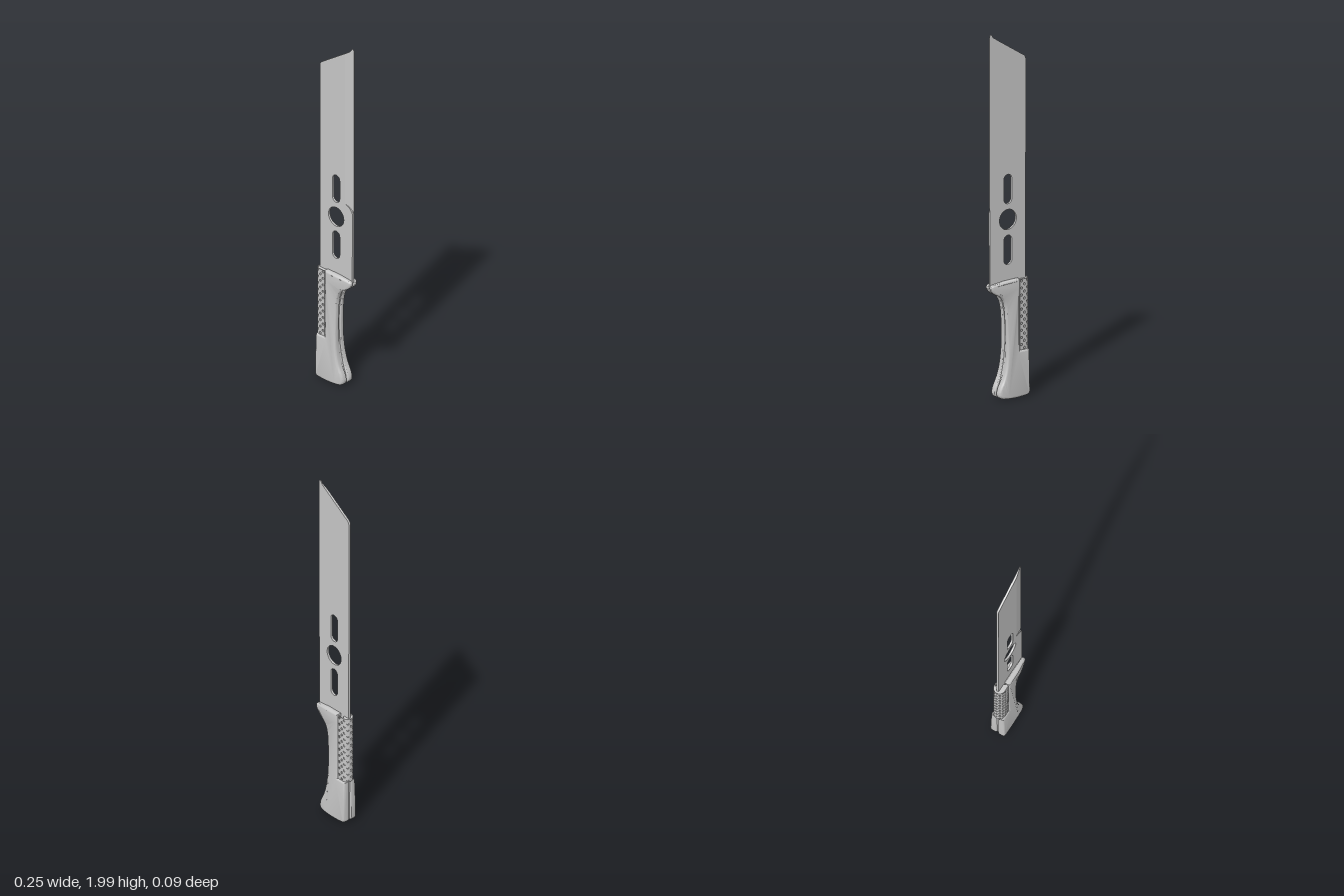
import * as THREE from 'three';
import { mergeGeometries, toCreasedNormals } from 'three/addons/utils/BufferGeometryUtils.js';

const steel = new THREE.MeshStandardMaterial({ color: 0xc6c6c6 });
steel.name = 'light grey';

// Move every vertex by a rule.
function warp(geometry, rule) {
  const p = geometry.attributes.position, v = new THREE.Vector3();
  for (let i = 0; i < p.count; i++) {
    v.fromBufferAttribute(p, i);
    rule(v);
    p.setXYZ(i, v.x, v.y, v.z);
  }
  return geometry;
}

function addMesh(group, name, geometry, crease = 0.6) {
  const mesh = new THREE.Mesh(toCreasedNormals(geometry, crease), steel);
  mesh.name = name;
  group.add(mesh);
}

const polygon = (pts) => new THREE.Shape(pts.map(([x, y]) => new THREE.Vector2(x, y)));

// Vertical slot with round ends.
function slot(y0, y1, r) {
  const hole = new THREE.Path();
  hole.absarc(0, y1 - r, r, 0, Math.PI, false);
  hole.absarc(0, y0 + r, r, Math.PI, Math.PI * 2, false);
  hole.closePath();
  return hole;
}

const BLADE = 0.006;     // half thickness of the blade
const GRIND = 0.062;     // where the ground edge begins

function addBlade(group) {
  // Flat body with the mounting holes and a tang running through the handle
  const body = new THREE.Shape();
  body.moveTo(-0.11, 0.02);
  body.lineTo(0.055, 0.02);
  body.quadraticCurveTo(0.07, 0.05, 0.05, 0.09);
  body.quadraticCurveTo(0.01, 0.2, 0.012, 0.36);
  body.quadraticCurveTo(0.012, 0.54, 0.06, 0.58);
  body.lineTo(0.115, 0.625);
  body.lineTo(0.116, 1.03);
  body.quadraticCurveTo(0.11, 1.06, GRIND, 1.075);
  body.lineTo(GRIND, 1.957);
  body.lineTo(-0.1, 1.852);
  body.quadraticCurveTo(-0.117, 1.842, -0.117, 1.82);
  body.lineTo(-0.114, 0.65);
  body.closePath();
  const round = new THREE.Path();
  round.absarc(0, 0.975, 0.055, 0, Math.PI * 2, true);
  body.holes.push(slot(1.06, 1.22, 0.026), round, slot(0.73, 0.89, 0.026));
  const bodyGeo = new THREE.ExtrudeGeometry(body, { depth: BLADE * 2, bevelEnabled: false, curveSegments: 16 });
  addMesh(group, 'bladeBody', bodyGeo.translate(0, 0, -BLADE));

  // Ground cutting edge: the front face slopes down to the back face
  const edge = new THREE.Shape();
  edge.moveTo(GRIND, 1.075);
  edge.quadraticCurveTo(0.11, 1.06, 0.116, 1.03);
  edge.lineTo(0.12, 1.06);
  edge.lineTo(0.12, 1.975);
  edge.quadraticCurveTo(0.12, 2.0, 0.106, 1.997);
  edge.lineTo(0.096, 1.98);
  edge.lineTo(GRIND, 1.957);
  edge.closePath();
  const edgeGeo = new THREE.ExtrudeGeometry(edge, { depth: BLADE * 2, bevelEnabled: false, curveSegments: 8 });
  warp(edgeGeo, (v) => {
    const t = (v.x - GRIND) / (0.12 - GRIND);
    v.z = v.z * (1 - 0.8 * t) - BLADE;
  });
  addMesh(group, 'cuttingEdge', edgeGeo, 0.3);
}

// Handle half thickness relative to the top: slimmer waist, flared butt
function flare(y) {
  const butt = 1 - THREE.MathUtils.smoothstep(y, 0.06, 0.4);
  const top = THREE.MathUtils.smoothstep(y, 0.48, 0.6);
  return 0.9 + 0.32 * butt + 0.12 * top;
}

function addScale(group, name, side) {
  const s = new THREE.Shape();
  s.moveTo(-0.1, 0.012);
  s.quadraticCurveTo(-0.02, 0.002, 0.05, 0.014);
  s.quadraticCurveTo(0.078, 0.02, 0.077, 0.045);
  s.quadraticCurveTo(0.074, 0.07, 0.055, 0.1);
  s.bezierCurveTo(0.015, 0.18, 0.018, 0.3, 0.022, 0.4);
  s.bezierCurveTo(0.024, 0.5, 0.03, 0.55, 0.07, 0.573);
  s.quadraticCurveTo(0.118, 0.595, 0.121, 0.622);
  s.quadraticCurveTo(0.122, 0.637, 0.105, 0.64);
  s.lineTo(0.03, 0.648);
  s.lineTo(-0.057, 0.649);
  for (let i = 1; i < 8; i++) s.lineTo(-0.057, 0.649 - i * 0.049);
  s.lineTo(-0.057, 0.257);
  s.lineTo(-0.119, 0.257);
  s.lineTo(-0.119, 0.15);
  s.lineTo(-0.12, 0.035);
  s.quadraticCurveTo(-0.12, 0.014, -0.1, 0.012);
  const bevel = 0.011;
  const geo = new THREE.ExtrudeGeometry(s, {
    depth: 0.018, curveSegments: 10,
    bevelEnabled: true, bevelSize: bevel, bevelThickness: bevel, bevelOffset: -bevel, bevelSegments: 4,
  });
  warp(geo, (v) => {
    const local = (v.z - 0.009) * side;              // + is the outer face
    const thin = 1 - 0.25 * THREE.MathUtils.smoothstep(v.x, 0.05, 0.12);
    const z = local > 0 ? 0.016 + local : 0.016 + local * 0.6;
    v.z = side * (local > 0 ? z * flare(v.y) * thin : z);
  });
  addMesh(group, name, geo, 0.7);
}

// Perforated pad wrapped round the spine of the handle
function addGripPad(group) {
  const R = 0.032, skin = 0.005, endX = -0.06, midX = -0.095;
  const straight = endX - midX, length = 2 * straight + Math.PI * R;
  const columns = 9, rows = 20, y0 = 0.26, y1 = 0.644;
  const w = length / columns, h = (y1 - y0) / rows;
  const cells = [];
  for (let i = 0; i < columns; i++) {
    for (let j = 0; j < rows; j++) {
      const a = i * w, b = y0 + j * h;
      const cell = polygon([[a, b], [a + w / 2, b], [a + w, b], [a + w, b + h], [a + w / 2, b + h], [a, b + h]]);
      if ((i + j) % 2) {
        const hole = new THREE.Path();
        hole.absarc(a + w / 2, b + h / 2, 0.0068, 0, Math.PI * 2, true);
        cell.holes.push(hole);
      }
      cells.push(new THREE.ExtrudeGeometry(cell, { depth: skin, bevelEnabled: false, curveSegments: 5 }));
    }
  }
  const pad = warp(mergeGeometries(cells), (v) => {
    const s = v.x, r = R - skin + v.z;
    if (s < straight) {
      v.x = endX - s;
      v.z = -r;
    } else if (s > length - straight) {
      v.x = endX - (length - s);
      v.z = r;
    } else {
      const angle = (s - straight) / R;
      v.x = midX - r * Math.sin(angle);
      v.z = -r * Math.cos(angle);
    }
  });
  addMesh(group, 'gripPad', pad, 0.6);

  // Solid core seen through the holes
  const core = new THREE.Shape();
  core.moveTo(-0.05, R - skin);
  core.absarc(midX, 0, R - skin, Math.PI / 2, Math.PI * 1.5, false);
  core.lineTo(-0.05, -(R - skin));
  core.closePath();
  const coreGeo = new THREE.ExtrudeGeometry(core, { depth: 0.378, bevelEnabled: false, curveSegments: 16 });
  addMesh(group, 'gripCore', coreGeo.rotateX(-Math.PI / 2).translate(0, 0.262, 0));
}

export function createModel() {
  const knife = new THREE.Group();
  knife.name = 'knife';
  const blade = new THREE.Group();
  blade.name = 'blade';
  addBlade(blade);
  const handle = new THREE.Group();
  handle.name = 'handle';
  addScale(handle, 'frontScale', 1);
  addScale(handle, 'backScale', -1);
  addGripPad(handle);
  knife.add(blade, handle);
  // Stand the butt on the ground
  const box = new THREE.Box3().setFromObject(knife);
  blade.position.y = handle.position.y = -box.min.y;
  return knife;
}
